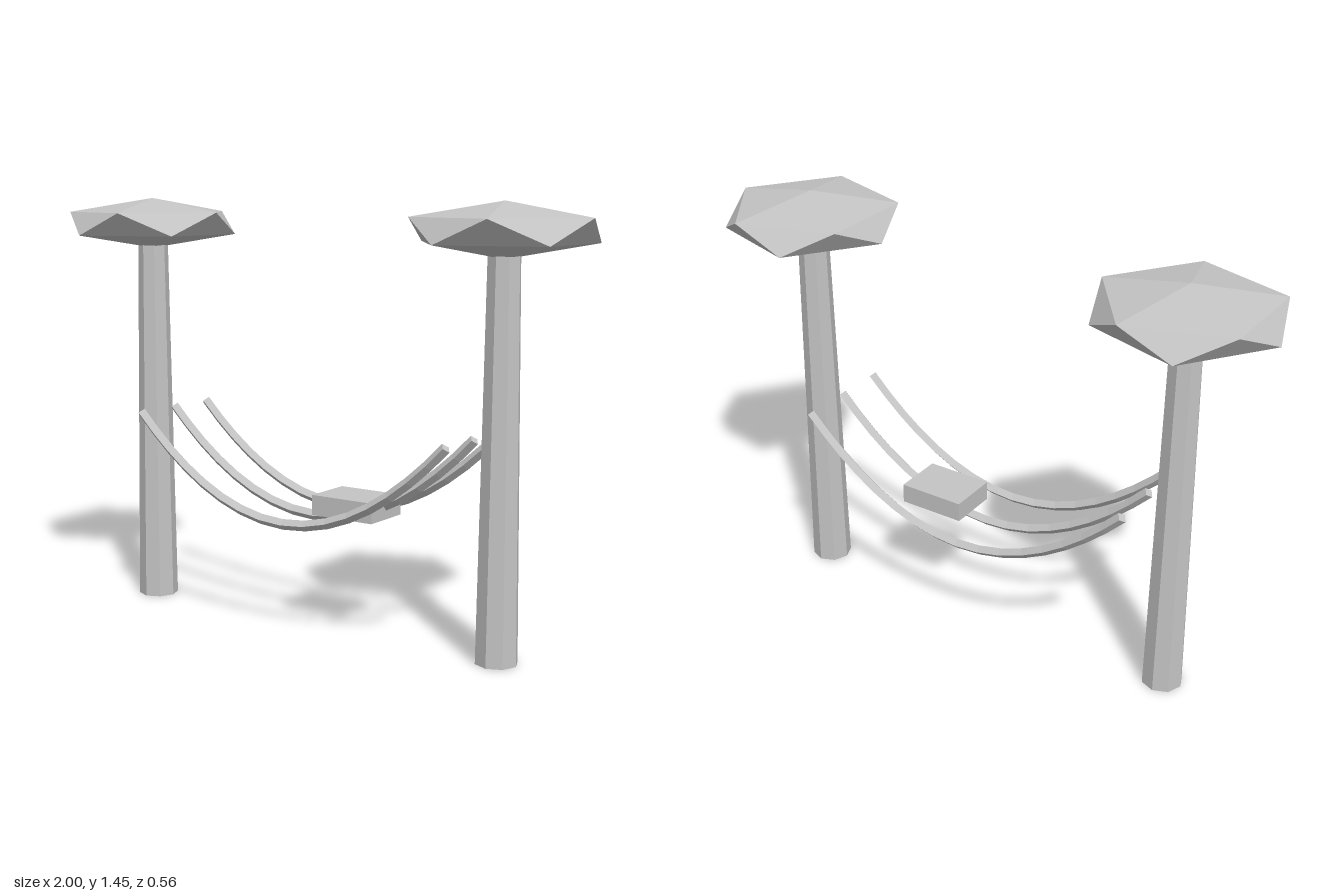
import * as THREE from 'three';

const grey = new THREE.MeshStandardMaterial({ color: 0xc4c4c4 });
grey.name = 'plainGrey';

// Splits shared corners so every face is shaded flat
function faceted(geometry) {
  const flat = geometry.index ? geometry.toNonIndexed() : geometry;
  flat.computeVertexNormals();
  return flat;
}

function part(name, geometry, x = 0, y = 0, z = 0) {
  const mesh = new THREE.Mesh(faceted(geometry), grey);
  mesh.name = name;
  mesh.position.set(x, y, z);
  return mesh;
}

// Flattened twenty-sided crown: two poles and two staggered rings of five
function crownGeometry(radius, halfHeight) {
  const points = [0, halfHeight, 0, 0, -halfHeight, 0];
  const index = [];
  for (let i = 0; i < 5; i++) {
    const a = (i * 2 * Math.PI) / 5, b = a + Math.PI / 5;
    points.push(radius * Math.cos(a), halfHeight * 0.447, radius * Math.sin(a));
    points.push(radius * Math.cos(b), -halfHeight * 0.447, radius * Math.sin(b));
    const up = 2 + i * 2, low = up + 1;
    const nextUp = 2 + ((i + 1) % 5) * 2, nextLow = nextUp + 1;
    index.push(0, nextUp, up, up, nextUp, low, nextUp, nextLow, low, 1, low, nextLow);
  }
  const geometry = new THREE.BufferGeometry();
  geometry.setAttribute('position', new THREE.Float32BufferAttribute(points, 3));
  geometry.setIndex(index);
  return geometry;
}

// Diamond-section rope hanging in a parabola, with closed ends
function ropeGeometry() {
  const r = 0.018;
  const section = new THREE.Shape([[r, 0], [0, r], [-r, 0], [0, -r]].map(p => new THREE.Vector2(...p)));
  const sag = new THREE.QuadraticBezierCurve3(
    new THREE.Vector3(-0.615, 0.705, 0),
    new THREE.Vector3(0, 0.065, 0),
    new THREE.Vector3(0.615, 0.705, 0));
  return new THREE.ExtrudeGeometry(section, { steps: 16, extrudePath: sag });
}

export function createModel() {
  const model = new THREE.Group();
  model.name = 'hammockBetweenTrees';

  // Two trees
  for (const side of [-1, 1]) {
    const tree = new THREE.Group();
    tree.name = side < 0 ? 'rightTree' : 'leftTree';
    tree.position.x = side * 0.707;
    tree.add(part('trunk', new THREE.CylinderGeometry(0.052, 0.07, 1.34, 8), 0, 0.67));
    tree.add(part('crown', crownGeometry(0.293, 0.088), 0, 1.357));
    model.add(tree);
  }

  // Three hanging ropes and the pillow resting on them
  const hammock = new THREE.Group();
  hammock.name = 'hammock';
  for (const z of [-0.176, 0, 0.176]) hammock.add(part('rope', ropeGeometry(), 0, 0, z));
  hammock.add(part('pillow', new THREE.BoxGeometry(0.235, 0.068, 0.176), 0.173, 0.442));
  model.add(hammock);

  return model;
}
